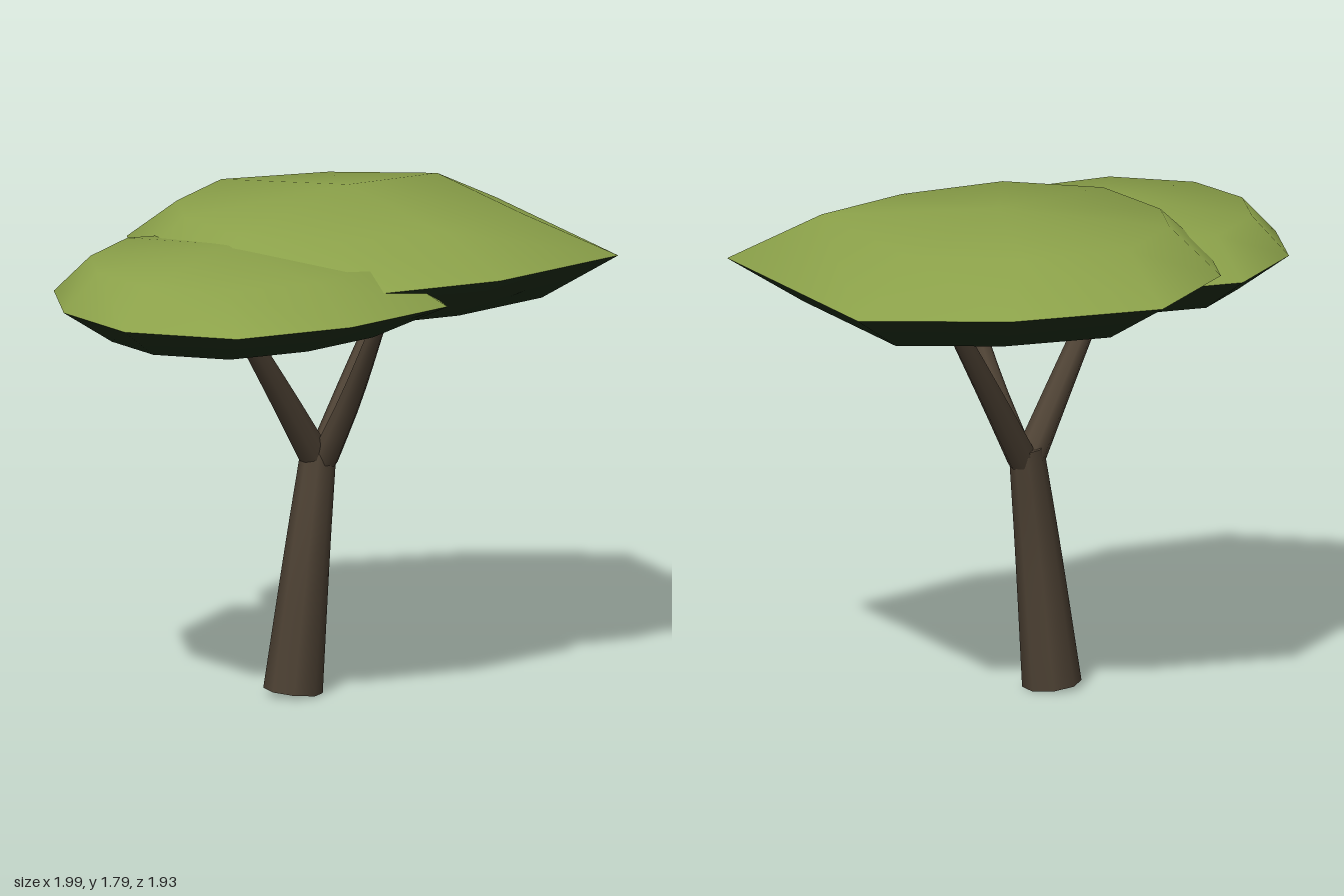
import * as THREE from 'three';

const bark = new THREE.MeshStandardMaterial({ color: 0x4f4335 });
bark.name = 'bark brown';
const leaf = new THREE.MeshStandardMaterial({ color: 0x8ca24a });
leaf.name = 'leaf green';
const shade = new THREE.MeshStandardMaterial({ color: 0x22331c });
shade.name = 'underside green';

// Tapered limb: a tube along a curve whose rings shrink from r0 to r1, capped at both ends.
function limb(name, points, r0, r1) {
  const group = new THREE.Group();
  group.name = name;
  const curve = new THREE.CatmullRomCurve3(points.map((p) => new THREE.Vector3(...p)));
  const seg = 6, sides = 8;
  const geo = new THREE.TubeGeometry(curve, seg, 1, sides);
  const pos = geo.attributes.position;
  const v = new THREE.Vector3();
  for (let i = 0; i <= seg; i++) {
    const c = curve.getPointAt(i / seg);
    const r = r0 + (r1 - r0) * (i / seg);
    for (let j = 0; j <= sides; j++) {
      const k = i * (sides + 1) + j;
      v.fromBufferAttribute(pos, k).sub(c).multiplyScalar(r).add(c);
      pos.setXYZ(k, v.x, v.y, v.z);
    }
  }
  group.add(new THREE.Mesh(geo, bark));
  for (const [t, i, sign] of [[0, 0, -1], [1, seg, 1]]) {
    // Cap fan sharing the end ring
    const c = curve.getPointAt(t);
    const data = [c.x, c.y, c.z], index = [];
    for (let j = 0; j <= sides; j++) {
      const k = i * (sides + 1) + j;
      data.push(pos.getX(k), pos.getY(k), pos.getZ(k));
    }
    const a = new THREE.Vector3().fromArray(data, 3).sub(c);
    const b = new THREE.Vector3().fromArray(data, 6).sub(c);
    const forward = a.cross(b).dot(curve.getTangentAt(t)) * sign > 0;
    for (let j = 1; j <= sides; j++) index.push(0, forward ? j : j + 1, forward ? j + 1 : j);
    const cap = new THREE.BufferGeometry();
    cap.setAttribute('position', new THREE.Float32BufferAttribute(data, 3));
    cap.setIndex(index);
    cap.computeVertexNormals();
    group.add(new THREE.Mesh(cap, bark));
  }
  return group;
}

// Half of a canopy: flat irregular rim, a smaller ring, and an apex.
function canopyHalf(rim, rimY, mid, ring, apex, up) {
  const n = rim.length;
  const data = [], index = [];
  for (const [x, z] of rim) data.push(x, rimY, z);
  for (const [x, z] of rim) {
    data.push(ring.x + (x - mid[0]) * ring.scale, ring.y, ring.z + (z - mid[1]) * ring.scale);
  }
  data.push(...apex);
  const tri = (a, b, c) => (up ? index.push(b, a, c) : index.push(a, b, c));
  for (let i = 0; i < n; i++) {
    const j = (i + 1) % n;
    tri(i, j, n + j);
    tri(i, n + j, n + i);
    tri(n + i, n + j, 2 * n);
  }
  const geo = new THREE.BufferGeometry();
  geo.setAttribute('position', new THREE.Float32BufferAttribute(data, 3));
  geo.setIndex(index);
  geo.computeVertexNormals();
  return geo;
}

function canopy(name, { rim, rimY, mid, topRing, top, lowRing, low }) {
  const group = new THREE.Group();
  group.name = name;
  const crown = new THREE.Mesh(canopyHalf(rim, rimY, mid, topRing, top, true), leaf);
  crown.name = 'canopyTop';
  const under = new THREE.Mesh(canopyHalf(rim, rimY, mid, lowRing, low, false), shade);
  under.name = 'canopyUnderside';
  group.add(crown, under);
  return group;
}

export function createModel() {
  const tree = new THREE.Group();
  tree.name = 'tree';

  // Leaning trunk and three forked branches
  tree.add(
    limb('trunk', [[-0.152, 0.012, -0.003], [-0.1, 0.52, -0.02], [-0.058, 0.88, -0.055]], 0.105, 0.062),
    limb('frontRightBranch', [[-0.07, 0.84, -0.05], [-0.19, 1.08, 0.07], [-0.38, 1.45, 0.27]], 0.056, 0.03),
    limb('frontLeftBranch', [[-0.04, 0.84, -0.04], [0.045, 1.07, 0.07], [0.15, 1.43, 0.28]], 0.05, 0.024),
    limb('backBranch', [[-0.045, 0.84, -0.06], [0.065, 1.08, -0.19], [0.24, 1.45, -0.39]], 0.054, 0.03),
  );

  // Large upper canopy toward the back
  tree.add(canopy('largeCanopy', {
    rim: [[0.06, -0.97], [0.6, -0.92], [0.99, 0.01], [0.56, 0.39], [0.04, 0.61],
      [-0.45, 0.45], [-0.7, 0], [-0.72, -0.37], [-0.48, -0.83]],
    rimY: 1.57,
    mid: [0.135, -0.18],
    topRing: { x: 0.055, y: 1.722, z: -0.125, scale: 0.705 },
    top: [0.05, 1.787, -0.2],
    lowRing: { x: 0.12, y: 1.415, z: -0.15, scale: 0.705 },
    low: [0.05, 1.33, -0.2],
  }));

  // Small lower canopy toward the front
  tree.add(canopy('smallCanopy', {
    rim: [[-0.81, -0.2], [-0.42, -0.31], [-0.05, -0.24], [0.28, 0.1], [0.37, 0.48],
      [0.02, 0.79], [-0.39, 0.96], [-0.78, 0.83], [-0.98, 0.52], [-1, 0.17]],
    rimY: 1.5,
    mid: [-0.315, 0.34],
    topRing: { x: -0.36, y: 1.635, z: 0.345, scale: 0.75 },
    top: [-0.38, 1.692, 0.31],
    lowRing: { x: -0.355, y: 1.375, z: 0.31, scale: 0.68 },
    low: [-0.38, 1.28, 0.31],
  }));

  return tree;
}
